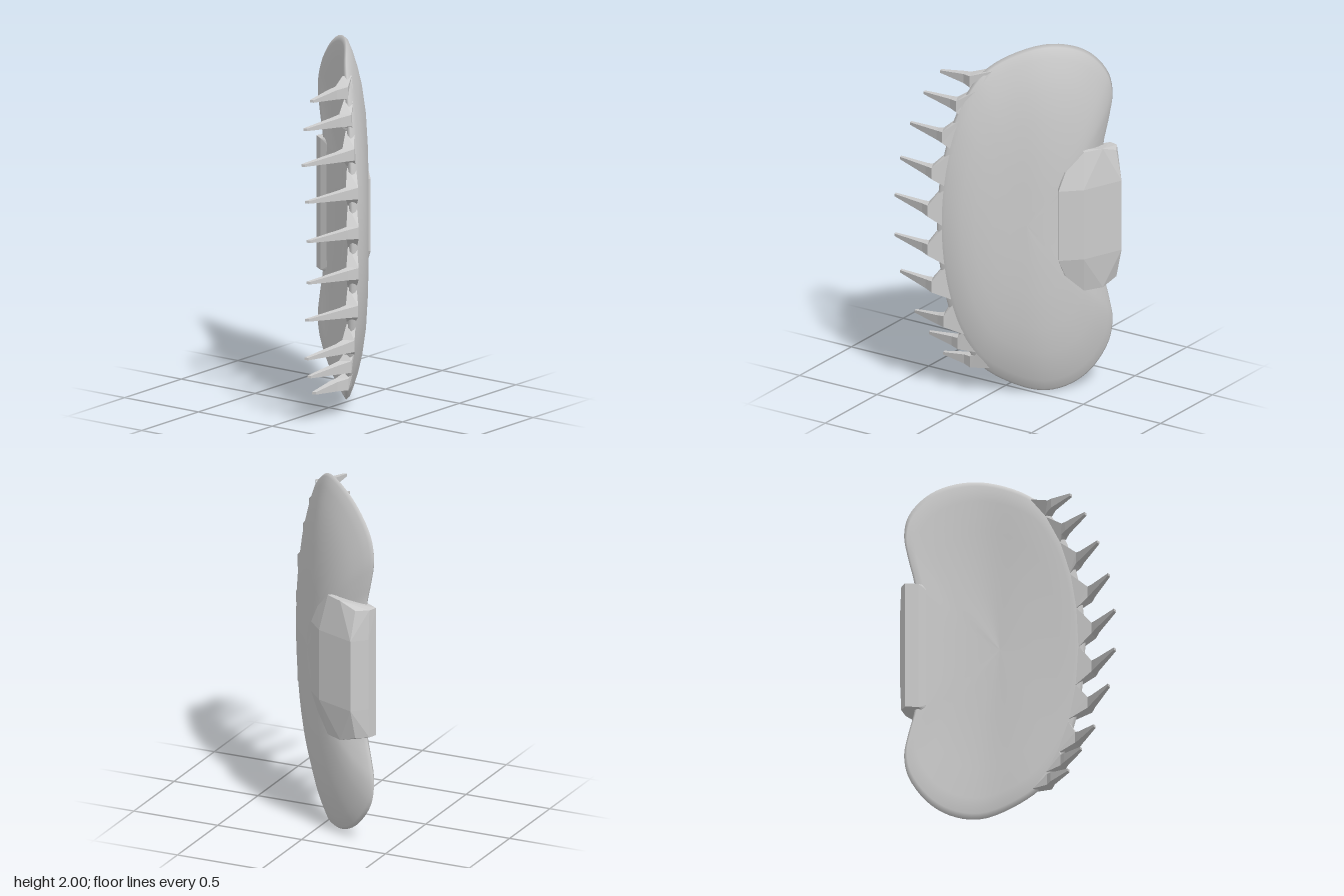
import * as THREE from 'three';
import { ConvexGeometry } from 'three/addons/geometries/ConvexGeometry.js';

const smooth = new THREE.MeshStandardMaterial({ color: 0xcccccc });
const flat = new THREE.MeshStandardMaterial({ color: 0xcccccc, flatShading: true });

function addMesh(group, name, geometry, material) {
  const mesh = new THREE.Mesh(geometry, material);
  mesh.name = name;
  group.add(mesh);
}

// Lofts equal-length rings of points into one surface
function loft(rings) {
  const n = rings[0].length;
  const index = [];
  for (let i = 0; i < rings.length - 1; i++) {
    for (let j = 0; j < n; j++) {
      const k = (j + 1) % n;
      const a = i * n + j, b = (i + 1) * n + j, c = (i + 1) * n + k, d = i * n + k;
      index.push(a, b, c, a, c, d);
    }
  }
  const g = new THREE.BufferGeometry().setFromPoints(rings.flat());
  g.setIndex(index);
  g.computeVertexNormals();
  return g;
}

// Plate coordinates: s along its diagonal, d through its depth
const platePoint = (s, y, d) => new THREE.Vector3((s + d) / 2, 1 + y, (s - d) / 2);

// Depth of the front sheet
function sheetDepth(s) {
  const t = s + 0.25;
  return t < 0 ? 0.135 - 0.4 * t * t : 0.085 + 0.05 * Math.exp(-t * t / 0.08);
}

// Spiked edge of the plate
const rim = (y) => 0.555 - 0.35 * y ** 2 - 0.25 * y ** 6;

// Bean-shaped plate, curved around the vertical axis, domed at the back
function plateGeometry() {
  const half = [
    ...[0.2, 0.4, 0.6, 0.74, 0.85].map((y) => [rim(y), y]),
    [0, 0.945], [-0.26, 1], [-0.49, 0.975], [-0.66, 0.9], [-0.79, 0.77],
    [-0.82, 0.65], [-0.79, 0.52], [-0.74, 0.36],
  ];
  const mirrored = half.map(([s, y]) => [s, -y]).reverse();
  const loop = [[rim(0), 0], ...half, [-0.73, 0], ...mirrored];
  const outline = new THREE.CatmullRomCurve3(
    loop.map(([s, y]) => new THREE.Vector3(s, y, 0)), true).getPoints(112).slice(0, -1);
  // [radius, depth]: shallow dish, rounded rim, then the dome
  const profile = [[0, 0.03], [0.4, 0.027], [0.7, 0.015], [0.88, 0], [0.97, 0.005], [1, 0.025]];
  for (const r of [0.985, 0.93, 0.85, 0.75, 0.6, 0.4, 0.2, 0]) {
    profile.push([r, 0.04 + 0.155 * (1 - r ** 4)]);
  }
  const centre = -0.1;
  return loft(profile.map(([r, depth]) => outline.map((p) => {
    const s = centre + (p.x - centre) * r;
    return platePoint(s, p.y * r, sheetDepth(s) + depth);
  })));
}

// Faceted pad wrapped over the back of the plate
function padGeometry() {
  const levels = [
    [0.2, [[-0.31, -0.54], [-0.08, -0.45], [0.015, -0.35], [-0.02, -0.32], [-0.385, -0.47]]],
    [0.3, [[-0.03, -0.365], [-0.05, -0.34]]],
    [0.365, [[-0.385, -0.46], [-0.4, -0.41], [-0.34, -0.37], [-0.32, -0.5]]],
    [0.4, [[-0.22, -0.48], [-0.12, -0.425], [-0.15, -0.39]]],
  ];
  const points = [];
  for (const [h, ring] of levels) {
    for (const [x, z] of ring) {
      points.push(new THREE.Vector3(x, 1 + h, z), new THREE.Vector3(x, 1 - h, z));
    }
  }
  return new ConvexGeometry(points);
}

const corners = [[-1, -1], [-1, 1], [1, 1], [1, -1]];

// Four-cornered section: w is the half width vector, h the half height
const section = (x, y, z, wx, wz, h) => corners.map(([a, b]) =>
  new THREE.Vector3(x + a * wx, y + b * h, z + a * wz));

// Root section sunk in the rim and following its outline
const rootSection = (y, half) => corners.map(([a, b]) => {
  const s = rim(y + b * half) - 0.05;
  return platePoint(s, y + b * half, sheetDepth(s) + 0.03 + a * 0.035);
});

// Spike: wide root, narrow knuckle, long tapered point
function spikeGeometry([kx, ky, kz, tx, ty, tz, half]) {
  return loft([
    rootSection(ky + 0.015 - 1, half),
    section(kx, ky, kz, 0.03, -0.015, 0.032),
    section(kx - 0.02, ky * 0.7 + ty * 0.3, kz + 0.05, 0.022, -0.008, 0.026),
    section(tx + 0.008, ty, tz, 0.01, -0.003, 0.007),
    section(tx + 0.008, ty, tz, 0, 0, 0),
  ]);
}

export function createModel() {
  const group = new THREE.Group();
  group.name = 'spikedPlate';
  addMesh(group, 'plate', plateGeometry(), smooth);
  addMesh(group, 'backPad', padGeometry(), flat);

  // Knuckle position, tip position, root half height
  const rows = [
    [0.175, 1.8, 0.115, 0.13, 1.79, 0.33, 0.05],
    [0.235, 1.665, 0.16, 0.155, 1.655, 0.42, 0.075],
    [0.295, 1.495, 0.21, 0.19, 1.475, 0.485, 0.09],
    [0.345, 1.295, 0.245, 0.24, 1.285, 0.515, 0.1],
    [0.36, 1.08, 0.26, 0.265, 1.075, 0.535, 0.115],
    [0.36, 0.855, 0.26, 0.265, 0.845, 0.535, 0.115],
    [0.345, 0.64, 0.245, 0.24, 0.63, 0.515, 0.1],
    [0.29, 0.43, 0.205, 0.19, 0.395, 0.455, 0.095],
    [0.23, 0.295, 0.155, 0.155, 0.275, 0.385, 0.065],
    [0.175, 0.18, 0.11, 0.13, 0.165, 0.31, 0.045],
  ];
  const spikes = new THREE.Group();
  spikes.name = 'spikes';
  for (const row of rows) addMesh(spikes, 'spike', spikeGeometry(row), flat);
  group.add(spikes);
  return group;
}
